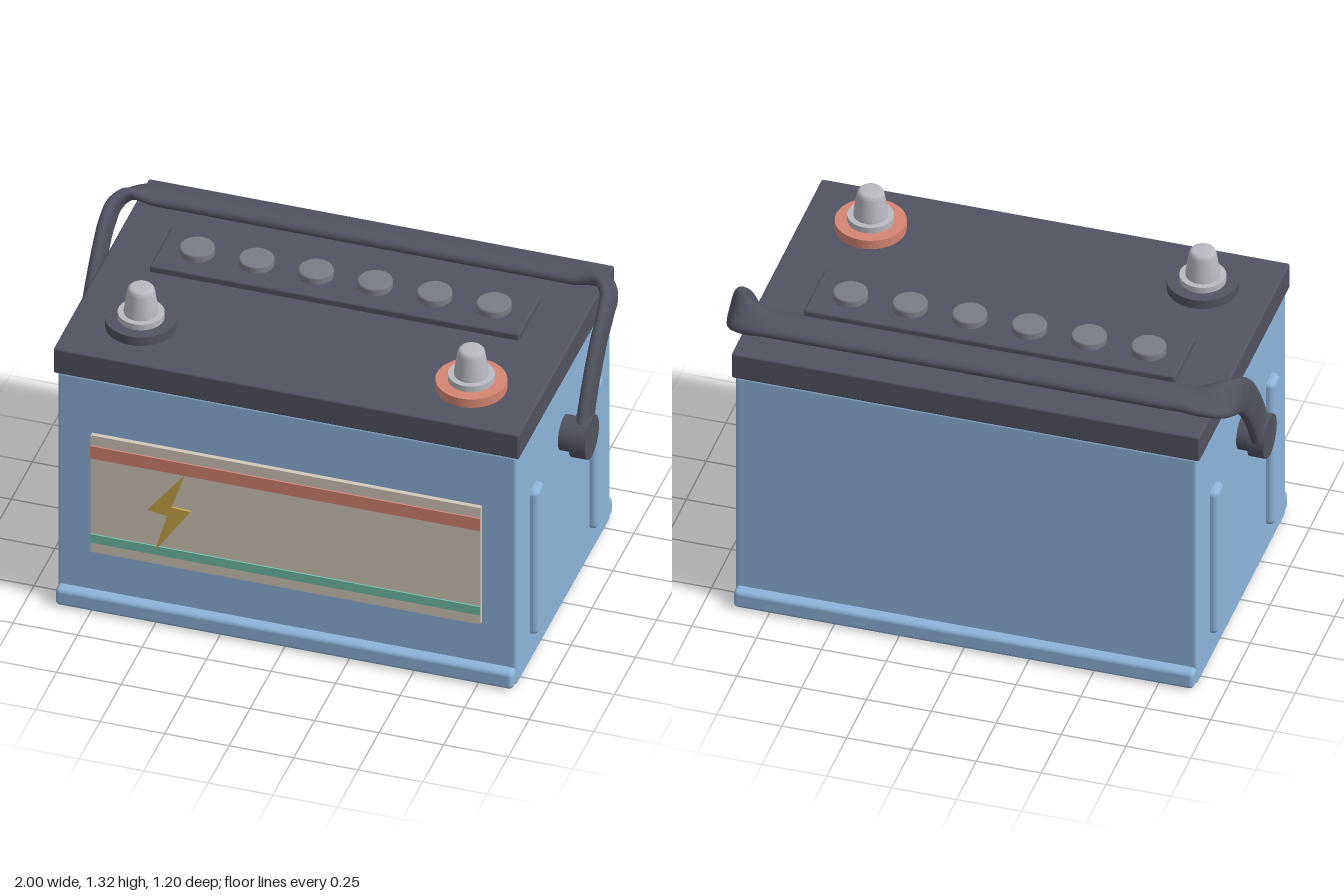
import * as THREE from 'three';
import { RoundedBoxGeometry } from 'three/addons/geometries/RoundedBoxGeometry.js';

const mat = (name, color) => {
  const m = new THREE.MeshStandardMaterial({ color });
  m.name = name;
  return m;
};

export function createModel() {
  const root = new THREE.Group();
  root.name = 'carBattery';

  const blue = mat('caseBlue', 0x8db3d9);
  const dark = mat('darkPlastic', 0x515361);
  const grey = mat('capGrey', 0x7a7c86);
  const metal = mat('leadMetal', 0xb9bac0);
  const red = mat('positiveRed', 0xd68573);
  const cream = mat('labelCream', 0xd2c8bb);
  const teal = mat('stripeTeal', 0x72bfaa);
  const gold = mat('boltGold', 0xcaa648);

  const add = (name, geometry, material, x = 0, y = 0, z = 0, parent = root) => {
    const mesh = new THREE.Mesh(geometry, material);
    mesh.name = name;
    mesh.position.set(x, y, z);
    parent.add(mesh);
    return mesh;
  };
  // Rounded box given by its limits on each axis
  const block = (name, material, [x0, x1], [y0, y1], [z0, z1], r) =>
    add(name, new RoundedBoxGeometry(x1 - x0, y1 - y0, z1 - z0, 3, r), material,
      (x0 + x1) / 2, (y0 + y1) / 2, (z0 + z1) / 2);

  // Case and lid
  block('case', blue, [-0.89, 0.89], [0, 1.03], [-0.56, 0.56], 0.014);
  block('lid', dark, [-0.902, 0.902], [1.03, 1.14], [-0.572, 0.572], 0.008);

  // Hold-down rails along the foot, and ribs on the ends
  block('frontRail', blue, [-0.887, 0.887], [0.004, 0.08], [0.54, 0.602], 0.018);
  block('backRail', blue, [-0.887, 0.887], [0.004, 0.08], [-0.602, -0.54], 0.018);
  for (const s of [-1, 1]) {
    for (const z of [-0.355, 0.355]) {
      const x = [s * 0.85, s * 0.92].sort((a, b) => a - b);
      block('sideRib', blue, x, [0.12, 0.77], [z - 0.045, z + 0.045], 0.022);
    }
  }

  // Front label with stripes
  const plate = (name, material, w, y0, y1, z0, z1) =>
    add(name, new THREE.BoxGeometry(w, y1 - y0, z1 - z0), material, 0, (y0 + y1) / 2, (z0 + z1) / 2);
  plate('label', cream, 1.51, 0.26, 0.785, 0.555, 0.578);
  plate('redStripe', red, 1.512, 0.685, 0.74, 0.577, 0.584);
  plate('tealStripe', teal, 1.512, 0.305, 0.343, 0.577, 0.584);

  // Lightning bolt
  const bolt = new THREE.Shape([
    [-0.39, 0.685], [-0.53, 0.505], [-0.455, 0.492],
    [-0.503, 0.325], [-0.365, 0.53], [-0.438, 0.535],
  ].map(([x, y]) => new THREE.Vector2(x, y)));
  add('lightningBolt', new THREE.ExtrudeGeometry(bolt, { depth: 0.009, bevelEnabled: false }),
    gold, 0, 0, 0.58);

  // Terminals: coloured ring, collar and tapered post
  const lathe = (pts) => new THREE.LatheGeometry(pts.map(([r, y]) => new THREE.Vector2(r, y)), 40);
  for (const s of [-1, 1]) {
    const terminal = new THREE.Group();
    terminal.name = s > 0 ? 'positiveTerminal' : 'negativeTerminal';
    terminal.position.set(s * 0.64, 1.135, 0.33);
    root.add(terminal);
    add('terminalRing', new THREE.CylinderGeometry(0.133, 0.133, 0.043, 40),
      s > 0 ? red : dark, 0, 0.0215, 0, terminal);
    add('terminalCollar', new THREE.CylinderGeometry(0.087, 0.087, 0.03, 32), metal, 0, 0.053, 0, terminal);
    add('terminalPost', lathe([[0.064, 0.06], [0.064, 0.08], [0.052, 0.16], [0.049, 0.171],
      [0.043, 0.178], [0.034, 0.181], [0, 0.181]]), metal, 0, 0, 0, terminal);
  }

  // Vent strip with six caps
  block('ventStrip', dark, [-0.716, 0.716], [1.12, 1.167], [-0.27, -0.005], 0.008);
  for (let i = 0; i < 6; i++) {
    add('ventCap', lathe([[0.066, 0], [0.066, 0.024], [0.064, 0.029], [0.059, 0.031], [0, 0.031]]),
      grey, (i - 2.5) * 0.23, 1.165, -0.14);
  }

  // Handle pivots
  for (const s of [-1, 1]) {
    const boss = add('pivotBoss', new THREE.CylinderGeometry(0.068, 0.068, 0.07, 32), dark, s * 0.905, 0.77, 0);
    const disc = add('pivotDisc', new THREE.CylinderGeometry(0.085, 0.085, 0.063, 40), dark, s * 0.9685, 0.77, 0);
    boss.rotation.z = disc.rotation.z = Math.PI / 2;
  }

  // Handle: flat oval section swept from pivot to pivot
  const half = [
    [0.965, 0.77, 0], [0.965, 0.89, -0.06], [0.965, 0.99, -0.125], [0.965, 1.07, -0.19],
    [0.965, 1.135, -0.265], [0.955, 1.172, -0.335], [0.92, 1.188, -0.388],
    [0.86, 1.19, -0.412], [0.78, 1.19, -0.416], [0.4, 1.19, -0.416],
  ].map((p) => new THREE.Vector3(...p));
  const mirrored = half.map((p) => new THREE.Vector3(-p.x, p.y, p.z)).reverse();
  const path = new THREE.CatmullRomCurve3([...half, ...mirrored]);
  const rings = 130, sides = 20, pos = [], index = [];
  const side = new THREE.Vector3(), thick = new THREE.Vector3();
  const power = (v) => Math.sign(v) * Math.abs(v) ** 0.7;
  for (let i = 0; i <= rings; i++) {
    const p = path.getPoint(i / rings), t = path.getTangent(i / rings);
    // The flat side turns from upright on the arms to level on the bar
    const k = THREE.MathUtils.smoothstep(Math.abs(p.x), 0.8, 0.965);
    side.set(0, 0.08 + 0.52 * k, 1 - 0.2 * k);
    side.addScaledVector(t, -side.dot(t)).normalize();
    thick.crossVectors(t, side);
    for (let j = 0; j < sides; j++) {
      const a = (j / sides) * Math.PI * 2;
      const q = p.clone().addScaledVector(side, 0.069 * power(Math.cos(a)))
        .addScaledVector(thick, 0.024 * power(Math.sin(a)));
      pos.push(q.x, q.y, q.z);
      if (i < rings) {
        const b = i * sides + j, c = i * sides + (j + 1) % sides;
        index.push(b, c, b + sides, c, c + sides, b + sides);
      }
    }
  }
  const handle = new THREE.BufferGeometry();
  handle.setAttribute('position', new THREE.Float32BufferAttribute(pos, 3));
  handle.setIndex(index);
  handle.computeVertexNormals();
  add('carryHandle', handle, dark);

  return root;
}
